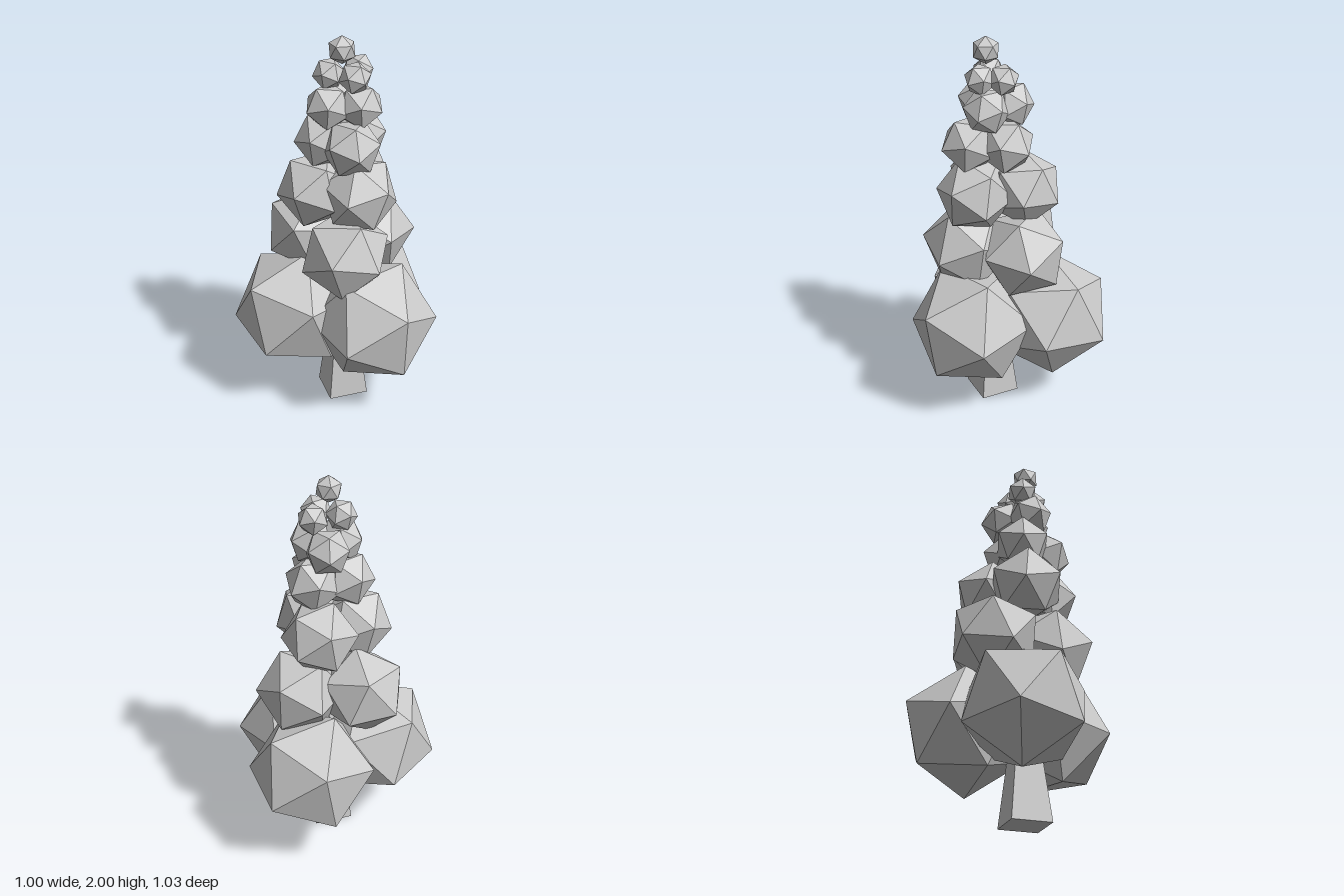
import * as THREE from 'three';

const material = new THREE.MeshStandardMaterial({ color: 0xcccccc, flatShading: true });
const vec = (p) => new THREE.Vector3(...p);

// Rotation frame whose first axis is a and whose second lies towards b.
function frame(a, b) {
  const x = a.clone().normalize();
  const z = x.clone().cross(b).normalize();
  return new THREE.Matrix4().makeBasis(x, z.clone().cross(x), z);
}

// Inverse frame of two neighbouring corners of the built-in icosahedron.
const t = (1 + Math.sqrt(5)) / 2;
const CORNERS = frame(vec([-1, t, 0]), vec([1, t, 0])).transpose();

// Foliage clump turned so one corner points along a and the next leans to b.
function clump(name, centre, radius, a, b) {
  const mesh = new THREE.Mesh(new THREE.IcosahedronGeometry(radius, 0), material);
  mesh.name = name;
  mesh.position.copy(centre);
  mesh.quaternion.setFromRotationMatrix(frame(a, b).multiply(CORNERS));
  return mesh;
}

// Wide lower tiers: radius, then centre and directions of two adjacent corners.
const LOWER_TIERS = [
  [0.333, [
    [[-0.2, 0.513, 0.211], [-0.3, -0.08, 0.12], [0, -0.13, 0.3]],
    [[0.213, 0.51, 0.143], [0.265, 0.14, 0.15], [0.11, 0.29, -0.12]],
    [[-0.027, 0.504, -0.197], [0.06, -0.08, -0.32], [0.13, 0.25, -0.19]],
  ]],
  [0.234, [
    [[0.09, 0.9, 0.21], [0.045, 0.035, 0.23], [0.215, -0.025, 0.055]],
    [[-0.2, 0.9, 0.05], [-0.22, -0.06, -0.06], [-0.185, 0.14, 0.08]],
    [[0.08, 0.9, -0.09], [0.01, 0.1, -0.21], [0.205, 0, -0.11]],
  ]],
  [0.198, [
    [[-0.09, 1.21, 0.175], [-0.18, -0.04, 0.085], [-0.01, 0.025, 0.195]],
    [[0.135, 1.22, 0.145], [0.185, 0.06, 0.055], [0.04, 0.015, 0.195]],
    [[-0.01, 1.22, -0.06], [0.025, -0.05, -0.19], [-0.125, 0.075, -0.125]],
  ]],
];

// Small upper tiers: radius, height, then x and z of each clump.
const UPPER_TIERS = [
  [0.147, 1.47, [[0.11, 0.18], [-0.06, 0.14], [0.06, 0.01]]],
  [0.118, 1.655, [[-0.02, 0.165], [0.11, 0.09], [-0.02, 0.01]]],
  [0.08, 1.805, [[-0.035, 0.13], [0.1, 0.125], [0.065, 0.02]]],
];

export function createModel() {
  const tree = new THREE.Group();
  tree.name = 'tree';
  const up = vec([0, 1, 0]);

  // Four-sided trunk, tapering into the foliage
  const trunk = new THREE.Mesh(new THREE.CylinderGeometry(0.07, 0.146, 0.5, 4), material);
  trunk.name = 'trunk';
  trunk.position.set(0.022, 0.25, 0.105);
  tree.add(trunk);

  // Lower foliage
  LOWER_TIERS.forEach(([radius, clumps], i) => clumps.forEach(([c, a, b], j) =>
    tree.add(clump(`lowerFoliage${i + 1}_${j + 1}`, vec(c), radius, vec(a), vec(b)))));

  // Upper foliage, each clump pointing a corner away from the tree's axis
  UPPER_TIERS.forEach(([radius, y, spots], i) => spots.forEach(([x, z], j) =>
    tree.add(clump(`upperFoliage${i + 1}_${j + 1}`, vec([x, y, z]), radius,
      vec([x - 0.03, -0.01, z - 0.09]), up))));

  // Tip
  tree.add(clump('tip', vec([0.03, 1.93, 0.12]), 0.07, up, vec([0, 0, 1])));
  return tree;
}
